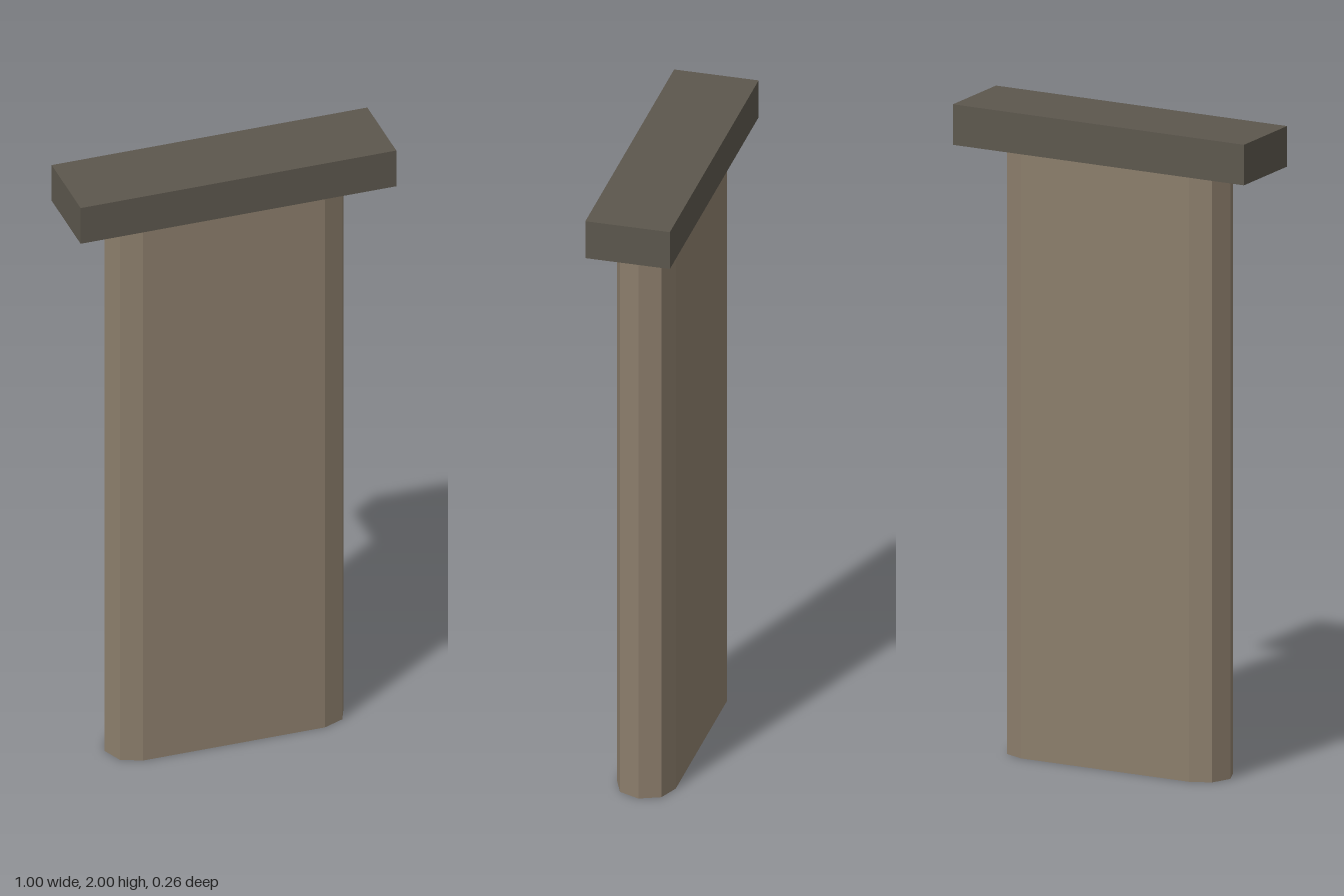
import * as THREE from 'three';

const HALF_WIDTH = 0.288; // centre of the rounded ends
const RADIUS = 0.091;
const BODY_TOP = 1.867;
const CAP_BOTTOM = 1.875;

function addMesh(group, name, geometry, material, x, y) {
  const mesh = new THREE.Mesh(geometry, material);
  mesh.name = name;
  mesh.position.set(x, y, 0);
  group.add(mesh);
}

export function createModel() {
  const model = new THREE.Group();
  model.name = 'cappedSlab';

  const stone = new THREE.MeshStandardMaterial({ color: 0x8b7d6b, flatShading: true });
  const endStone = stone.clone();
  endStone.side = THREE.DoubleSide;
  const darkStone = new THREE.MeshStandardMaterial({ color: 0x5c574d, flatShading: true });

  // Flat centre of the upright
  addMesh(model, 'body', new THREE.BoxGeometry(2 * HALF_WIDTH, BODY_TOP, 2 * RADIUS),
    stone, 0, BODY_TOP / 2);

  // Open half-octagon ends, left (+x) and right (-x)
  for (const [name, side] of [['leftEnd', 1], ['rightEnd', -1]]) {
    const start = side > 0 ? 0 : Math.PI;
    const end = new THREE.CylinderGeometry(RADIUS, RADIUS, BODY_TOP, 4, 1, true, start, Math.PI);
    addMesh(model, name, end, endStone, side * HALF_WIDTH, BODY_TOP / 2);
  }

  // Overhanging cap
  addMesh(model, 'cap', new THREE.BoxGeometry(1, 2 - CAP_BOTTOM, 0.262),
    darkStone, 0, (2 + CAP_BOTTOM) / 2);

  return model;
}
